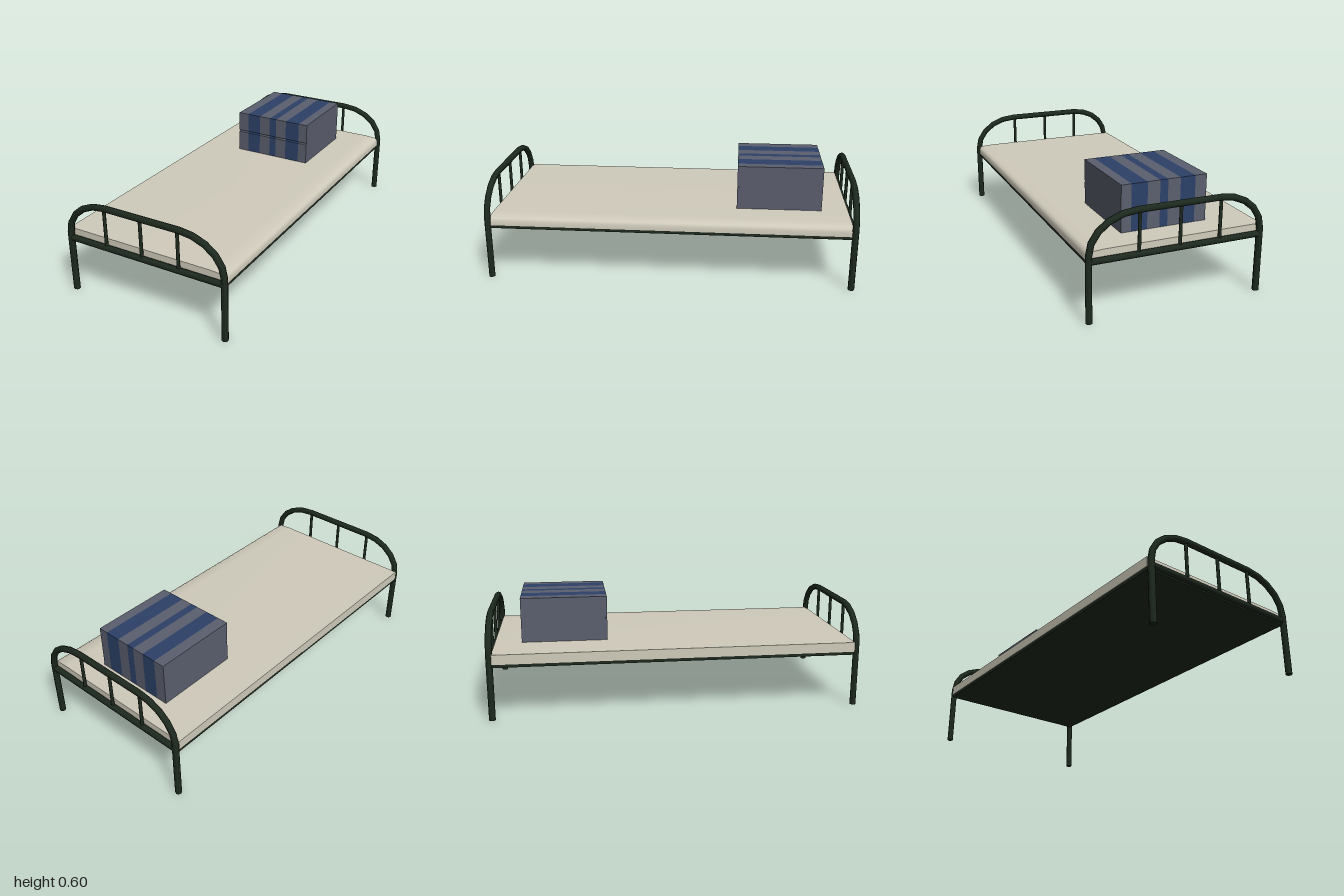
import * as THREE from 'three';
import { toCreasedNormals } from 'three/addons/utils/BufferGeometryUtils.js';

const mat = (name, color) => {
  const m = new THREE.MeshStandardMaterial({ color });
  m.name = name;
  return m;
};

// Polyline whose tube rings sit exactly on the corner points
class Polyline extends THREE.Curve {
  constructor(points) {
    super();
    this.points = points;
  }
  getPoint(t, target = new THREE.Vector3()) {
    const n = this.points.length - 1;
    const f = Math.min(Math.max(t, 0), 1) * n;
    const i = Math.min(Math.floor(f), n - 1);
    return target.lerpVectors(this.points[i], this.points[i + 1], f - i);
  }
  getPointAt(u, target) {
    return this.getPoint(u, target);
  }
  getTangentAt(u, target = new THREE.Vector3()) {
    const p = this.points, n = p.length - 1, i = Math.round(u * n);
    target.set(0, 0, 0);
    if (i > 0) target.add(p[i].clone().sub(p[i - 1]).normalize());
    if (i < n) target.add(p[i + 1].clone().sub(p[i]).normalize());
    return target.normalize();
  }
}

// Extrude a closed outline
function prism(outline, depth) {
  const shape = new THREE.Shape(outline.map(([x, y]) => new THREE.Vector2(x, y)));
  return new THREE.ExtrudeGeometry(shape, { depth, bevelEnabled: false });
}

export function createModel() {
  const metal = mat('dark green metal', 0x1d291e);
  const cream = mat('cream sheet', 0xd0cbbb);
  const grey = mat('grey cloth', 0x5b5f6e);
  const blue = mat('blue stripe', 0x2c4168);

  const model = new THREE.Group();
  model.name = 'bed';
  const add = (parent, name, geometry, material, x = 0, y = 0, z = 0) => {
    const mesh = new THREE.Mesh(geometry, material);
    mesh.name = name;
    mesh.position.set(x, y, z);
    parent.add(mesh);
    return mesh;
  };

  // End frames: bent tube with legs, a crossbar and three spindles
  const R = 0.0175, legX = 0.4575;
  const arc = (cx, from, to) => Array.from({ length: 6 }, (_, i) => {
    const a = THREE.MathUtils.lerp(from, to, i / 5);
    const rx = legX - Math.abs(cx);
    return new THREE.Vector3(cx + rx * Math.cos(a), 0.34 + 0.19 * Math.sin(a), 0);
  });
  const path = [
    new THREE.Vector3(-legX, 0, 0),
    ...arc(-0.225, Math.PI, Math.PI / 2),
    ...arc(0.21, Math.PI / 2, 0),
    new THREE.Vector3(legX, 0, 0),
  ];
  const bentTube = new THREE.TubeGeometry(new Polyline(path), path.length - 1, R, 8);
  const footCap = new THREE.CircleGeometry(R, 8).rotateX(Math.PI / 2);
  const crossbar = new THREE.CylinderGeometry(0.017, 0.017, 2 * legX, 8).rotateZ(Math.PI / 2);
  const spindle = new THREE.CylinderGeometry(0.009, 0.009, 0.22, 8);
  for (const [name, z] of [['footFrame', 0.9825], ['headFrame', -0.9825]]) {
    const frame = new THREE.Group();
    frame.name = name;
    frame.position.z = z;
    add(frame, 'bentTube', bentTube, metal);
    add(frame, 'crossbar', crossbar, metal, 0, 0.309, 0);
    for (const x of [-0.228, -0.012, 0.203]) add(frame, 'spindle', spindle, metal, x, 0.42, 0);
    for (const x of [-legX, legX]) add(frame, 'footCap', footCap, metal, x, 0.0005, 0);
    model.add(frame);
  }

  // Base board
  add(model, 'baseBoard', new THREE.BoxGeometry(0.925, 0.018, 1.95), metal, -0.006, 0.296, 0);

  // Mattress, softly rounded along one long edge
  const mattress = prism([
    [-0.472, 0.304], [0.46, 0.304], [0.46, 0.33], [0.455, 0.344],
    [0.44, 0.353], [0.37, 0.357], [-0.472, 0.357],
  ], 1.94);
  add(model, 'mattress', toCreasedNormals(mattress, 0.8), cream, 0, 0, -0.97);

  // Folded quilt: slices across x, with a fold groove in the front
  const quilt = new THREE.Group();
  quilt.name = 'foldedQuilt';
  const profile = [
    [0.825, 0.355], [0.36, 0.355], [0.36, 0.476], [0.372, 0.481],
    [0.36, 0.486], [0.36, 0.6], [0.825, 0.6],
  ];
  const edges = [-0.237, -0.174, -0.092, -0.024, 0.019, 0.086, 0.172, 0.226];
  for (let i = 0; i < edges.length - 1; i++) {
    const slice = prism(profile, edges[i + 1] - edges[i]).rotateY(Math.PI / 2);
    add(quilt, i % 2 ? 'blueStripe' : 'greyStripe', slice, i % 2 ? blue : grey, edges[i], 0, 0);
  }
  model.add(quilt);

  return model;
}
